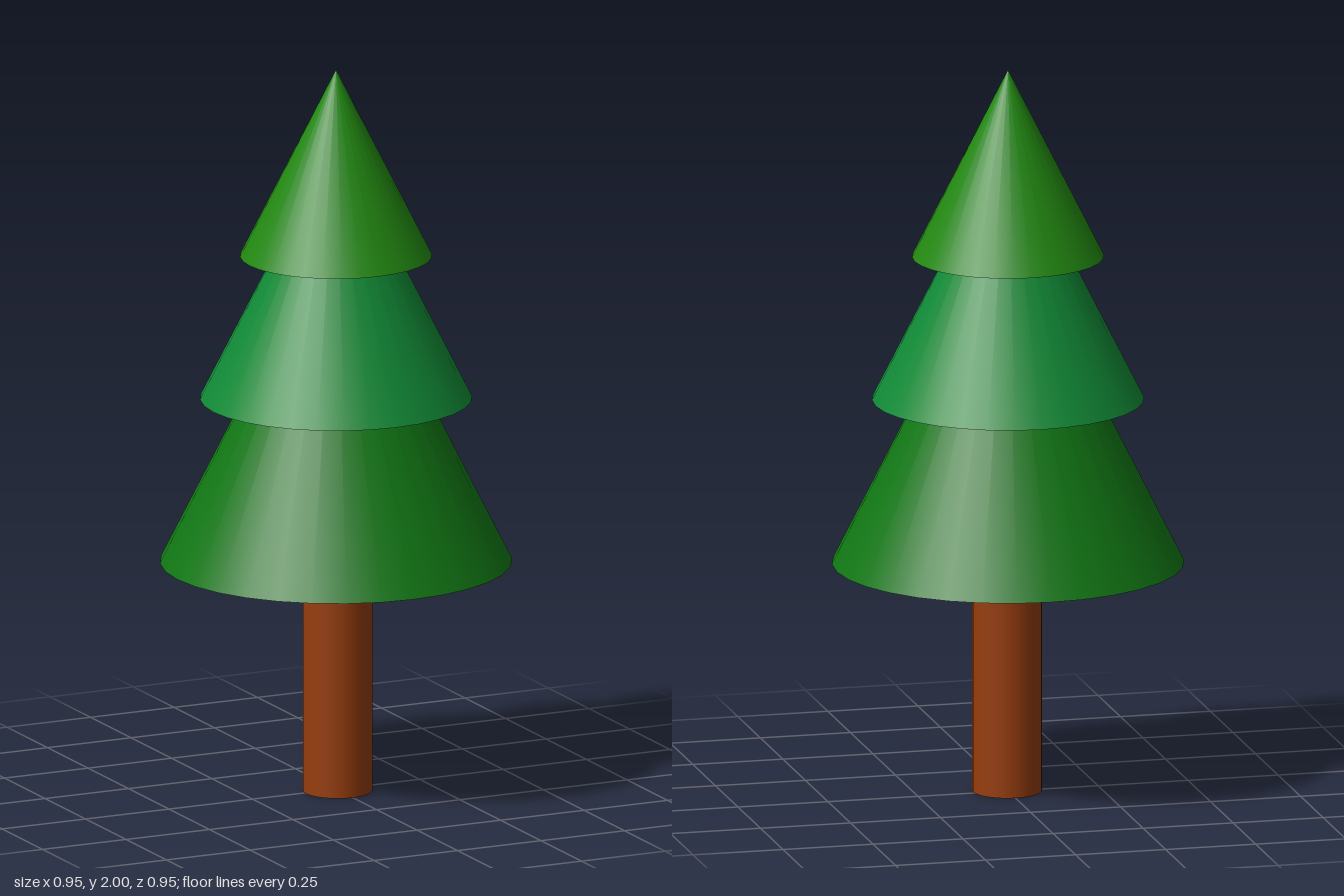
import * as THREE from 'three';

const SIDES = 32;

// Adds a named mesh whose base sits at the given height
function addPart(group, name, geometry, height, base, color) {
  const mesh = new THREE.Mesh(geometry, new THREE.MeshStandardMaterial({ color }));
  mesh.name = name;
  mesh.position.y = base + height / 2;
  group.add(mesh);
  return mesh;
}

export function createModel() {
  const tree = new THREE.Group();
  tree.name = 'pineTree';

  // Trunk, set slightly forward and reaching a little into the foliage
  const trunkHeight = 0.7;
  const trunk = addPart(tree, 'trunk',
    new THREE.CylinderGeometry(0.094, 0.094, trunkHeight, SIDES), trunkHeight, 0, 0x963d0e);
  trunk.position.z = 0.01;

  // Three overlapping cones of foliage, from bottom to top
  const tiers = [
    { name: 'lowerFoliage', radius: 0.475, base: 0.635, height: 0.95, color: 0x117714 },
    { name: 'middleFoliage', radius: 0.367, base: 1.088, height: 0.73, color: 0x118a36 },
    { name: 'upperFoliage', radius: 0.259, base: 1.483, height: 0.517, color: 0x228811 },
  ];
  for (const { name, radius, base, height, color } of tiers) {
    addPart(tree, name, new THREE.ConeGeometry(radius, height, SIDES), height, base, color);
  }

  return tree;
}
